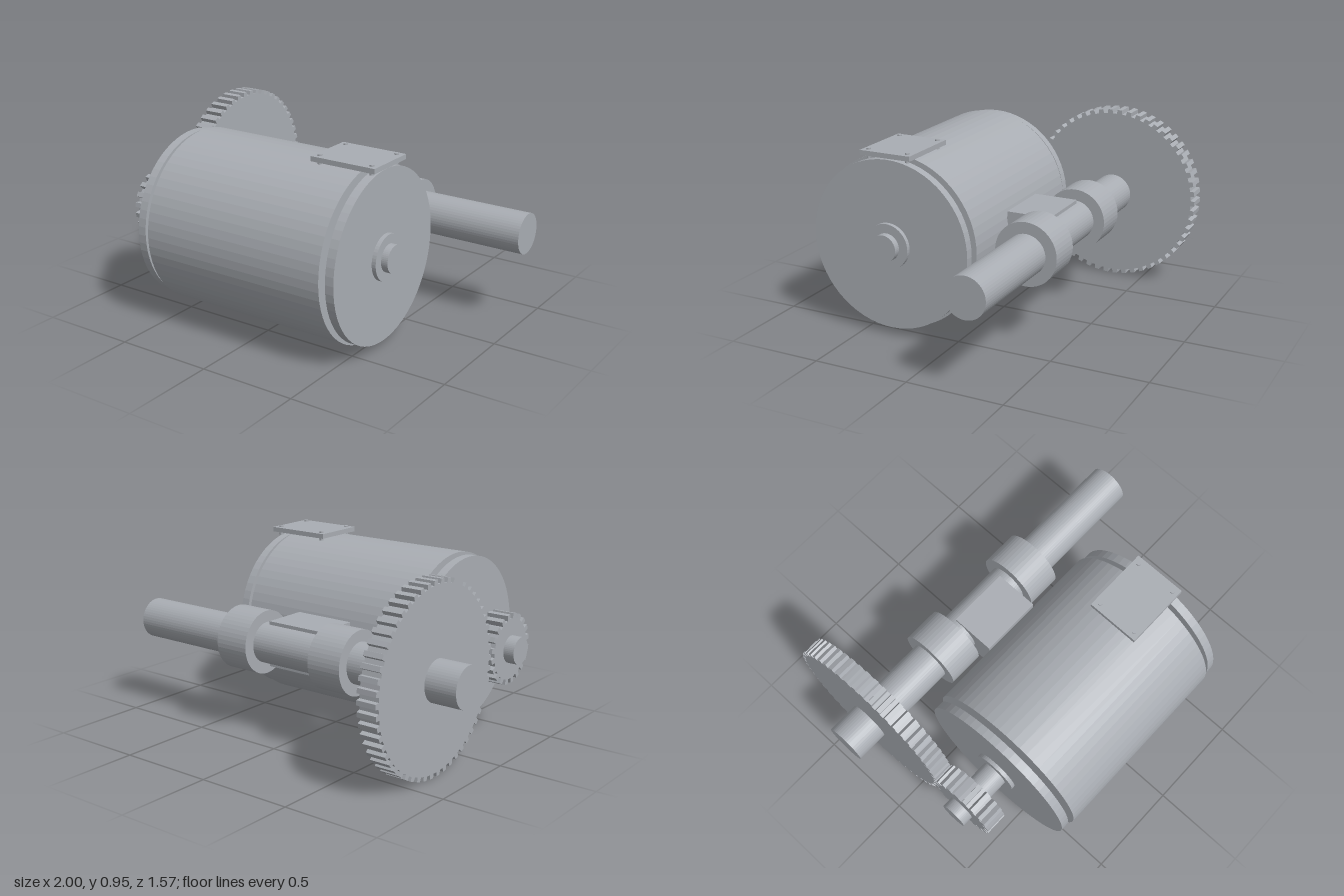
import * as THREE from 'three';

const AXIS_Y = 0.48;      // height shared by both shafts
const MOTOR_Z = 0.34;     // drive motor axis
const AXLE_Z = -0.312;    // driven axle axis

export function createModel() {
  const model = new THREE.Group();
  model.name = 'gearedMotorAxle';

  const steel = new THREE.MeshStandardMaterial({ color: 0xa9adb3, flatShading: true });
  steel.name = 'steelGrey';

  function add(name, geometry, x, y, z, parent = model) {
    const mesh = new THREE.Mesh(geometry, steel);
    mesh.name = name;
    mesh.position.set(x, y, z);
    parent.add(mesh);
    return mesh;
  }

  // Cylinder lying along x from x0 to x1
  function rod(name, radius, x0, x1, z, sides = 48) {
    const geometry = new THREE.CylinderGeometry(radius, radius, x1 - x0, sides).rotateZ(Math.PI / 2);
    return add(name, geometry, (x0 + x1) / 2, AXIS_Y, z);
  }

  // Spur gear along x; phase is measured in tooth pitches
  function gear(name, teeth, root, tip, x0, x1, z, phase) {
    const shape = new THREE.Shape();
    const pitch = (Math.PI * 2) / teeth;
    const profile = [[-0.29, root], [-0.22, tip], [0.22, tip], [0.29, root]];
    for (let i = 0; i < teeth; i++) {
      profile.forEach(([offset, r], k) => {
        const a = (i + phase + offset) * pitch;
        const px = r * Math.cos(a), py = r * Math.sin(a);
        if (i === 0 && k === 0) shape.moveTo(px, py);
        else shape.lineTo(px, py);
      });
    }
    shape.closePath();
    const geometry = new THREE.ExtrudeGeometry(shape, { depth: x1 - x0, bevelEnabled: false });
    geometry.rotateY(Math.PI / 2);
    return add(name, geometry, x0, AXIS_Y, z);
  }

  // Motor: drum, end discs, hubs and shaft
  rod('motorDrum', 0.447, -0.508, 0.502, MOTOR_Z, 64);
  rod('leftDrumBoss', 0.2, 0.495, 0.508, MOTOR_Z);
  rod('rightEndDisc', 0.435, -0.58, -0.535, MOTOR_Z, 64);
  rod('leftEndDisc', 0.435, 0.53, 0.575, MOTOR_Z, 64);
  rod('rightHub', 0.117, -0.6, -0.5, MOTOR_Z);
  rod('leftHub', 0.117, 0.49, 0.597, MOTOR_Z);
  rod('motorShaft', 0.07, -0.895, 0.632, MOTOR_Z);

  // Gear pair
  gear('pinion', 20, 0.155, 0.182, -0.838, -0.722, MOTOR_Z, 0.5);
  gear('axleGear', 54, 0.453, 0.475, -0.832, -0.728, AXLE_Z, 0);

  // Axle with its two bearing collars
  rod('axle', 0.105, -1, 1, AXLE_Z);
  rod('rightCollar', 0.164, -0.39, -0.2, AXLE_Z);
  rod('leftCollar', 0.164, 0.2, 0.39, AXLE_Z);

  // Block joining the axle to the drum
  add('suspensionBlock', new THREE.BoxGeometry(0.33, 0.236, 0.235), -0.003, 0.482, -0.217);

  // Cover plate on four bolts
  const cover = new THREE.Group();
  cover.name = 'coverPlate';
  cover.position.set(0.42, 0, 0.338);
  model.add(cover);
  add('plate', new THREE.BoxGeometry(0.35, 0.025, 0.277), 0, 0.94, 0, cover);
  for (const sx of [-1, 1]) {
    for (const sz of [-1, 1]) {
      add('bolt', new THREE.CylinderGeometry(0.011, 0.011, 0.049, 16), sx * 0.142, 0.9355, sz * 0.108, cover);
    }
  }

  return model;
}
